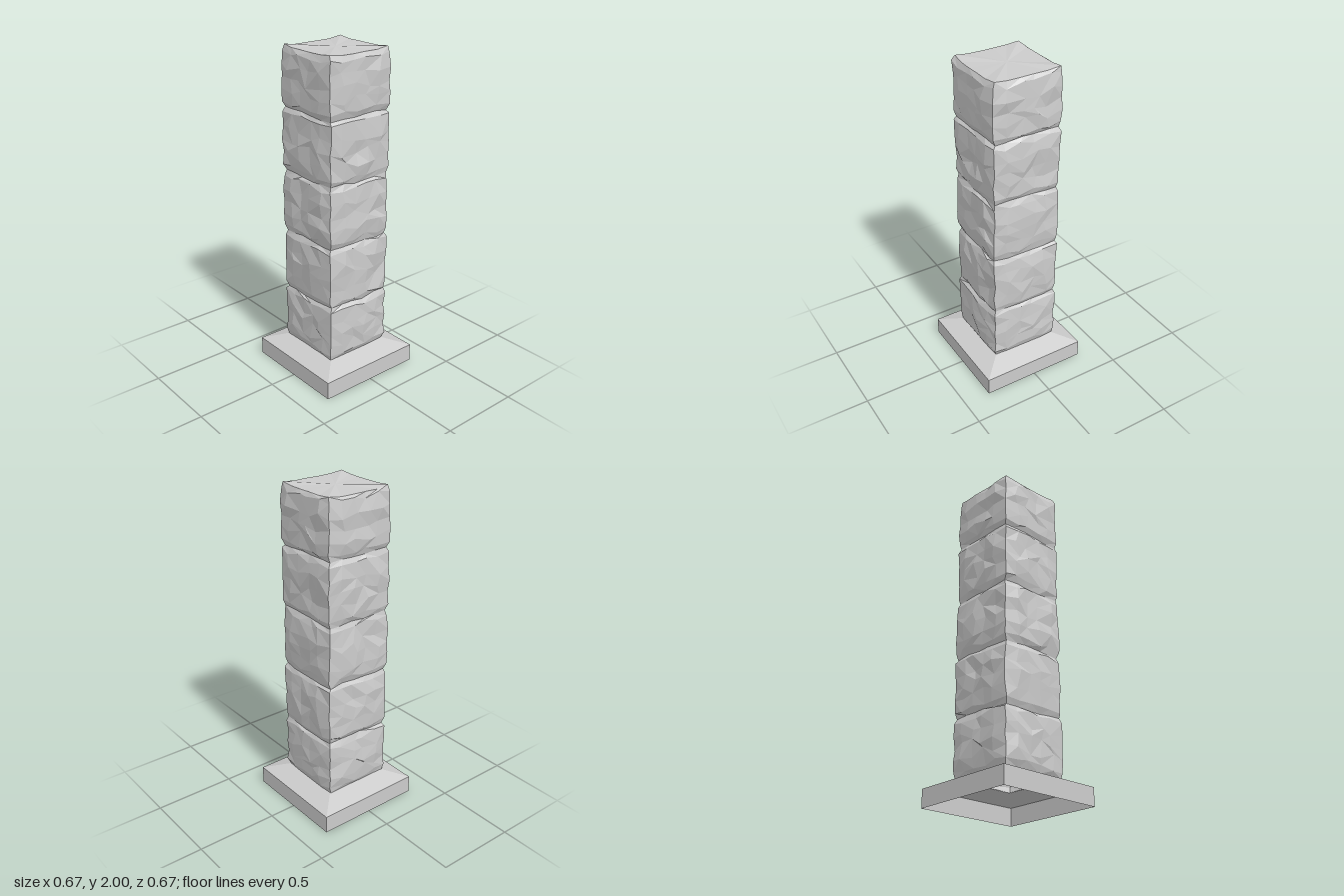
import * as THREE from 'three';

const SEAMS = [0.155, 0.505, 0.88, 1.26, 1.64, 1.99]; // joints between the stacked stones
const COLS = 5; // facets across each face

// Chips and ridges: side (0 front, 1 +x, 2 back, 3 -x), position along the face, height, depth, radius
const CHIPS = [
  [0, -0.03, 1.47, -0.018, 0.06], [0, 0.16, 0.66, -0.02, 0.07], [0, 0.03, 0.42, 0.01, 0.09],
  [0, 0.04, 1.14, -0.012, 0.06], [1, 0.06, 1.42, -0.028, 0.07], [1, -0.03, 1.48, 0.01, 0.05],
  [2, 0.08, 1.14, -0.022, 0.07], [2, -0.05, 0.78, -0.012, 0.06], [3, -0.04, 1.1, -0.02, 0.06],
];

function seeded(seed) {
  return () => {
    seed = (seed * 16807) % 2147483647;
    return seed / 2147483647;
  };
}

// Rings from bottom to top: a pinched ring at each joint, rough bulging rings between
function columnRings() {
  const rings = [];
  for (let b = 0; b < SEAMS.length - 1; b++) {
    const y0 = SEAMS[b], h = SEAMS[b + 1] - y0;
    rings.push({ y: y0, corner: 0.205, face: 0.207, rough: 0.2 });
    for (const [f, face] of [[0.1, 0.222], [0.3, 0.229], [0.5, 0.228], [0.7, 0.23], [0.93, 0.222]]) {
      rings.push({ y: y0 + f * h, corner: 0.215, face, rough: f > 0.2 && f < 0.8 ? 1 : 0.5 });
    }
  }
  rings.push({ y: SEAMS.at(-1), corner: 0.206, face: 0.207, rough: 0.1 });
  return rings;
}

function columnGeometry() {
  const rand = seeded(4711);
  const jitter = (a) => (rand() * 2 - 1) * a;
  const rings = columnRings(), around = COLS * 4;
  const pos = [], index = [];

  rings.forEach((ring, i) => {
    const end = i === 0 || i === rings.length - 1;
    for (let k = 0; k < around; k++) {
      const side = Math.floor(k / COLS), j = k % COLS;
      let u, d, y = ring.y;
      if (j === 0) {
        // Shared corner edge
        u = -ring.corner + jitter(0.006);
        d = ring.corner + jitter(0.006);
        if (!end) y += jitter(0.008);
      } else {
        u = (j / COLS * 2 - 1) * ring.corner + (end ? 0 : jitter(0.022));
        d = ring.face + jitter(0.009) * ring.rough;
        if (!end) y += jitter(0.006 + 0.018 * ring.rough);
        for (const [s, cu, cy, depth, r] of CHIPS) {
          if (s === side) d += depth * Math.exp(-((u - cu) ** 2 + (y - cy) ** 2) / (r * r));
        }
      }
      if (i === rings.length - 1) y += j === 0 ? 0.01 : jitter(0.002);
      const c = [1, 0, -1, 0][side], s = [0, 1, 0, -1][side];
      pos.push(u * c + d * s, y, -u * s + d * c);
    }
  });

  // Facets with irregular diagonals
  for (let i = 0; i < rings.length - 1; i++) {
    for (let k = 0; k < around; k++) {
      const a = i * around + k, b = i * around + (k + 1) % around;
      const c = b + around, d = a + around;
      if (rand() < 0.5) index.push(a, b, c, a, c, d);
      else index.push(a, b, d, b, c, d);
    }
  }

  // Top cap, open underneath
  const first = (rings.length - 1) * around, centre = pos.length / 3;
  pos.push(0, 1.992, 0);
  for (let k = 0; k < around; k++) index.push(centre, first + k, first + (k + 1) % around);

  const geo = new THREE.BufferGeometry();
  geo.setAttribute('position', new THREE.Float32BufferAttribute(pos, 3));
  geo.setIndex(index);
  const flat = geo.toNonIndexed();
  flat.computeVertexNormals();
  return flat;
}

// Hollow square plinth with a sloped top
function plinthGeometry() {
  const profile = [[0.335, 0], [0.335, 0.11], [0.203, 0.157]];
  const points = profile.map(([half, y]) => new THREE.Vector2(half * Math.SQRT2, y));
  const geo = new THREE.LatheGeometry(points, 4, Math.PI / 4).toNonIndexed();
  geo.computeVertexNormals();
  return geo;
}

export function createModel() {
  const material = new THREE.MeshStandardMaterial({
    color: 0xcccccc, flatShading: true, side: THREE.DoubleSide,
  });
  const model = new THREE.Group();
  model.name = 'stonePillar';

  const plinth = new THREE.Mesh(plinthGeometry(), material);
  plinth.name = 'plinth';
  const column = new THREE.Mesh(columnGeometry(), material);
  column.name = 'roughStoneColumn';

  model.add(plinth, column);
  return model;
}
